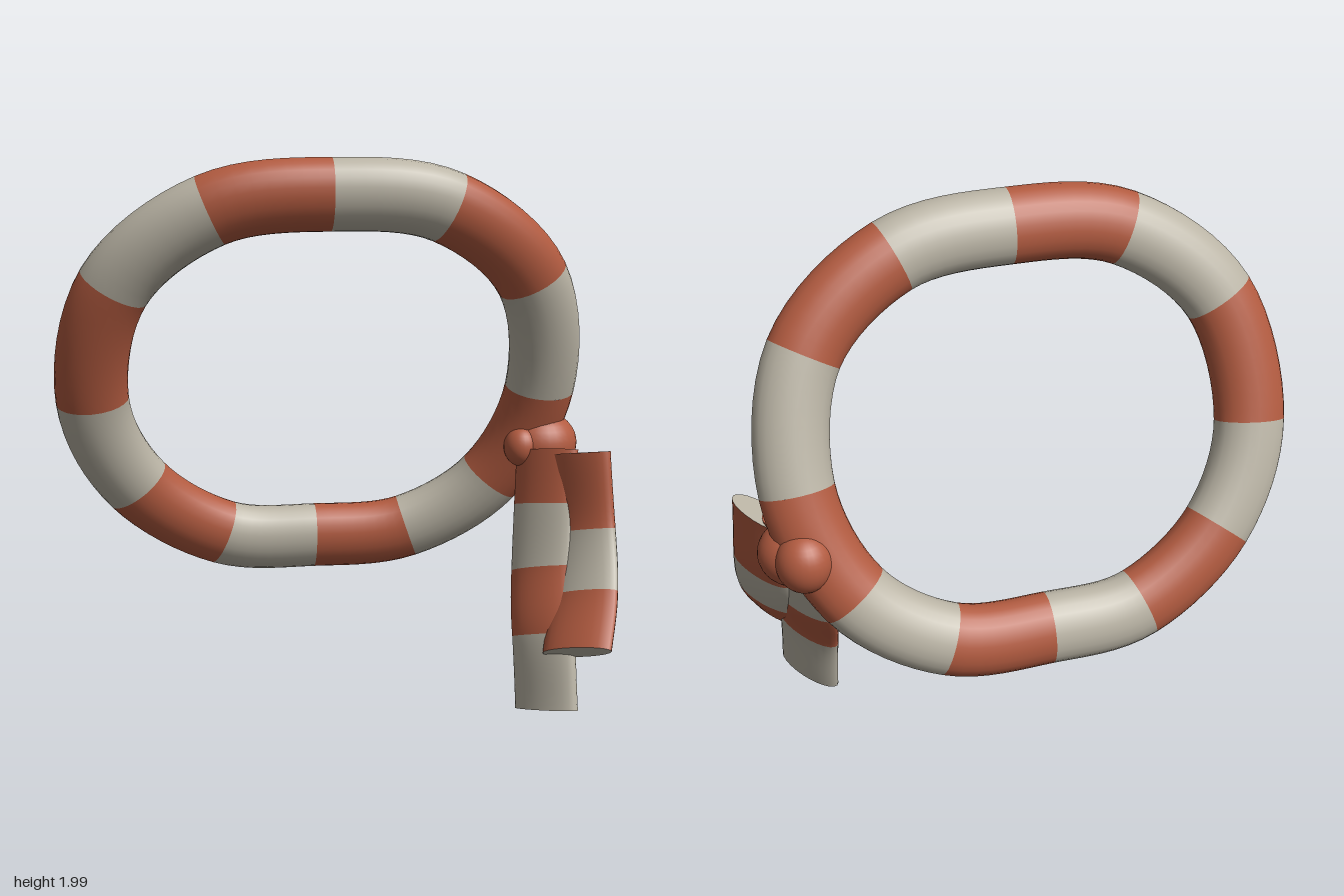
import * as THREE from 'three';

const rust = new THREE.MeshStandardMaterial({ color: 0xb25b40 });
rust.name = 'rust';
const stone = new THREE.MeshStandardMaterial({ color: 0xbab4a5 });
stone.name = 'stone';

const SIDES = 24;
const STEPS = 8;

// Local axes of the cloth at t: centre, wide/flat axis u, and v across it
function frameAt(curve, t, ref) {
  const c = curve.getPoint(t);
  const T = curve.getTangent(t);
  const u = ref.clone().addScaledVector(T, -ref.dot(T)).normalize();
  const v = new THREE.Vector3().crossVectors(T, u).normalize();
  return { c, u, v };
}

function build(pos, nor, idx) {
  const g = new THREE.BufferGeometry();
  g.setAttribute('position', new THREE.Float32BufferAttribute(pos, 3));
  if (nor) g.setAttribute('normal', new THREE.Float32BufferAttribute(nor, 3));
  g.setIndex(idx);
  if (!nor) g.computeVertexNormals();
  return g;
}

// One stripe: an oval section (half sizes a along u, b along v) swept from t0 to t1
function stripe(curve, t0, t1, ref, a, b) {
  const pos = [], nor = [], idx = [];
  const row = SIDES + 1;
  for (let i = 0; i <= STEPS; i++) {
    const { c, u, v } = frameAt(curve, t0 + (t1 - t0) * i / STEPS, ref);
    for (let j = 0; j <= SIDES; j++) {
      const f = j / SIDES * Math.PI * 2, cs = Math.cos(f), sn = Math.sin(f);
      pos.push(...c.clone().addScaledVector(u, a * cs).addScaledVector(v, b * sn));
      nor.push(...u.clone().multiplyScalar(cs / a).addScaledVector(v, sn / b).normalize());
      if (i < STEPS && j < SIDES) {
        const p = i * row + j, q = p + row;
        idx.push(p, p + 1, q, p + 1, q + 1, q);
      }
    }
  }
  return build(pos, nor, idx);
}

// Flat oval closing the cloth at t = 0 or t = 1
function cap(curve, t, ref, a, b) {
  const { c, u, v } = frameAt(curve, t, ref);
  const pos = [...c], idx = [];
  for (let j = 0; j < SIDES; j++) {
    const f = j / SIDES * Math.PI * 2, k = (j + 1) % SIDES;
    pos.push(...c.clone().addScaledVector(u, a * Math.cos(f)).addScaledVector(v, b * Math.sin(f)));
    if (t === 1) idx.push(0, j + 1, k + 1);
    else idx.push(0, k + 1, j + 1);
  }
  return build(pos, null, idx);
}

function add(parent, name, geometry, material) {
  const m = new THREE.Mesh(geometry, material);
  m.name = name;
  parent.add(m);
  return m;
}

// A hanging end of the scarf, one stripe per span between its points
function tail(name, points, topMat, endMat) {
  const g = new THREE.Group();
  g.name = name;
  const curve = new THREE.CatmullRomCurve3(points.map(p => new THREE.Vector3(...p)));
  const ref = new THREE.Vector3(0.6, 0, 0.8);
  const n = points.length - 1;
  for (let i = 0; i < n; i++)
    add(g, 'tailStripe', stripe(curve, i / n, (i + 1) / n, ref, 0.135, 0.045), i % 2 ? stone : rust);
  add(g, 'tailTop', cap(curve, 0, ref, 0.135, 0.045), topMat);
  add(g, 'tailEnd', cap(curve, 1, ref, 0.135, 0.045), endMat);
  return g;
}

export function createModel() {
  const model = new THREE.Group();
  model.name = 'stripedScarf';

  // Neck loop: twelve stripes in a plane leaning forward at the top
  const lean = 0.351;
  const outline = [
    [0.79, 1.13], [0.71, 1.555], [0.38, 1.82], [-0.03, 1.87], [-0.44, 1.82], [-0.77, 1.555],
    [-0.855, 1.13], [-0.7, 0.78], [-0.38, 0.56], [-0.03, 0.53], [0.33, 0.555], [0.64, 0.76],
  ];
  const loopCurve = new THREE.CatmullRomCurve3(
    outline.map(([x, y]) => new THREE.Vector3(x, y, -0.365 + (y - 0.53) * lean)),
    true, 'catmullrom', 0.5);
  const normal = new THREE.Vector3(0, -lean, 1).normalize();
  const loop = new THREE.Group();
  loop.name = 'neckLoop';
  for (let i = 0; i < 12; i++)
    add(loop, 'loopStripe', stripe(loopCurve, i / 12, (i + 1) / 12, normal, 0.1, 0.13), i % 2 ? rust : stone);
  model.add(loop);

  // Knot: overlapping rounded lumps
  const knot = new THREE.Group();
  knot.name = 'knot';
  const ball = new THREE.SphereGeometry(1, 28, 18);
  for (const [x, y, z, rx, ry, rz] of [
    [0.81, 0.91, -0.185, 0.135, 0.12, 0.125],
    [0.8, 0.92, -0.27, 0.1, 0.11, 0.1],
    [0.72, 0.91, -0.13, 0.065, 0.075, 0.065],
  ]) {
    const lump = add(knot, 'knotLump', ball, rust);
    lump.position.set(x, y, z);
    lump.scale.set(rx, ry, rz);
  }
  model.add(knot);

  // Hanging ends
  model.add(tail('longTail', [
    [0.8, 0.91, -0.06], [0.78, 0.72, 0], [0.755, 0.5, 0.085], [0.73, 0.29, 0.21], [0.725, 0.035, 0.29],
  ], rust, rust));
  model.add(tail('shortTail', [
    [0.885, 0.925, 0.06], [0.89, 0.65, 0.13], [0.865, 0.45, 0.245], [0.805, 0.28, 0.375],
  ], stone, stone));

  return model;
}
